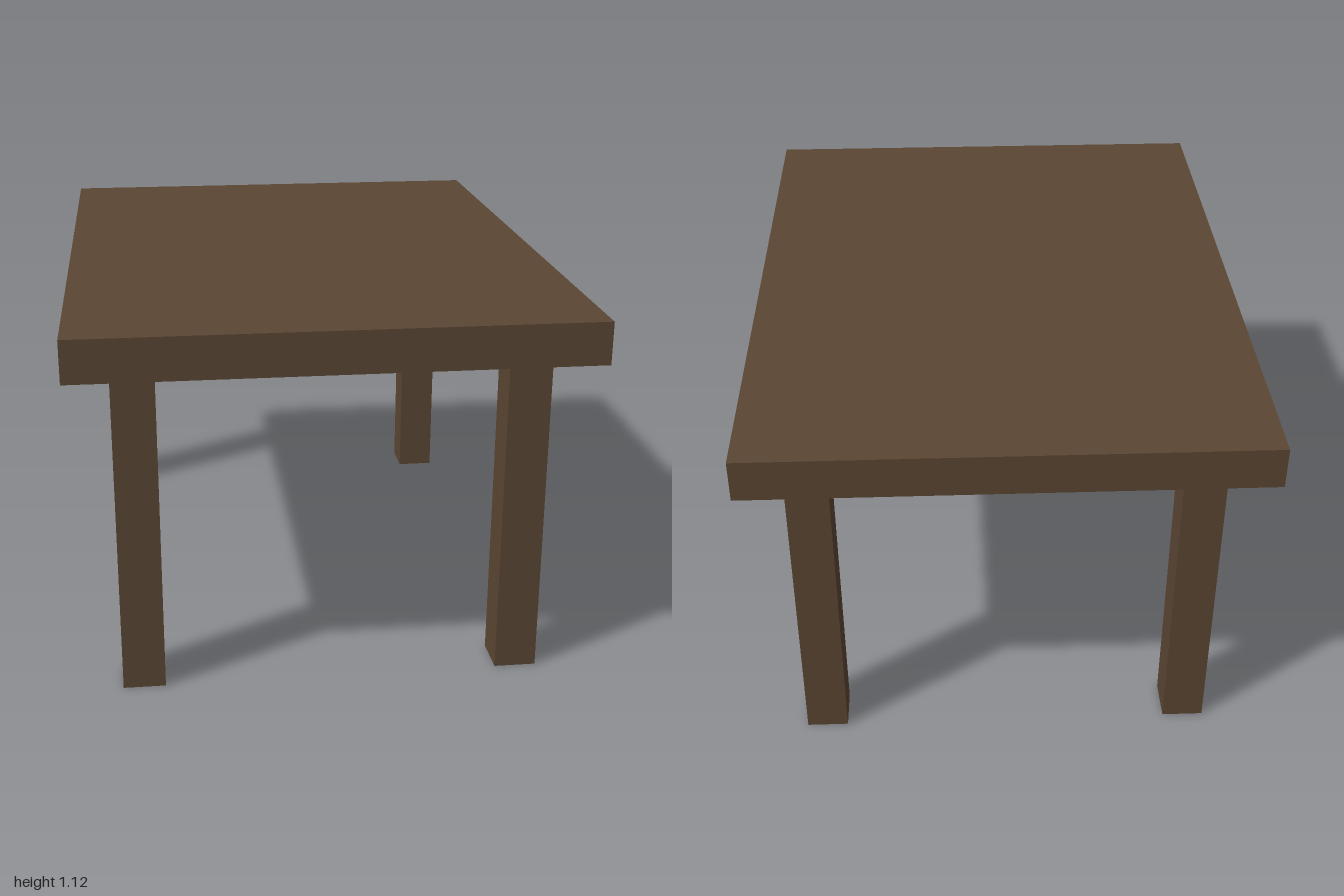
import * as THREE from 'three';

export function createModel() {
  const model = new THREE.Group();
  model.name = 'table';

  const wood = new THREE.MeshStandardMaterial({ color: 0x5a4633 });
  wood.name = 'dark brown wood';

  const legHeight = 1;
  const legWidth = 0.125;
  const topThickness = 0.125;

  // Slab top
  const tableTop = new THREE.Mesh(new THREE.BoxGeometry(1.5, topThickness, 2), wood);
  tableTop.name = 'tableTop';
  tableTop.position.y = legHeight + topThickness / 2;
  model.add(tableTop);

  // Four square legs, inset from the edges
  const legGeometry = new THREE.BoxGeometry(legWidth, legHeight, legWidth);
  for (const [side, sx] of [['Left', 1], ['Right', -1]]) {
    for (const [end, sz] of [['front', 1], ['back', -1]]) {
      const leg = new THREE.Mesh(legGeometry, wood);
      leg.name = `${end}${side}Leg`;
      leg.position.set(sx * 0.5625, legHeight / 2, sz * 0.8125);
      model.add(leg);
    }
  }

  return model;
}
